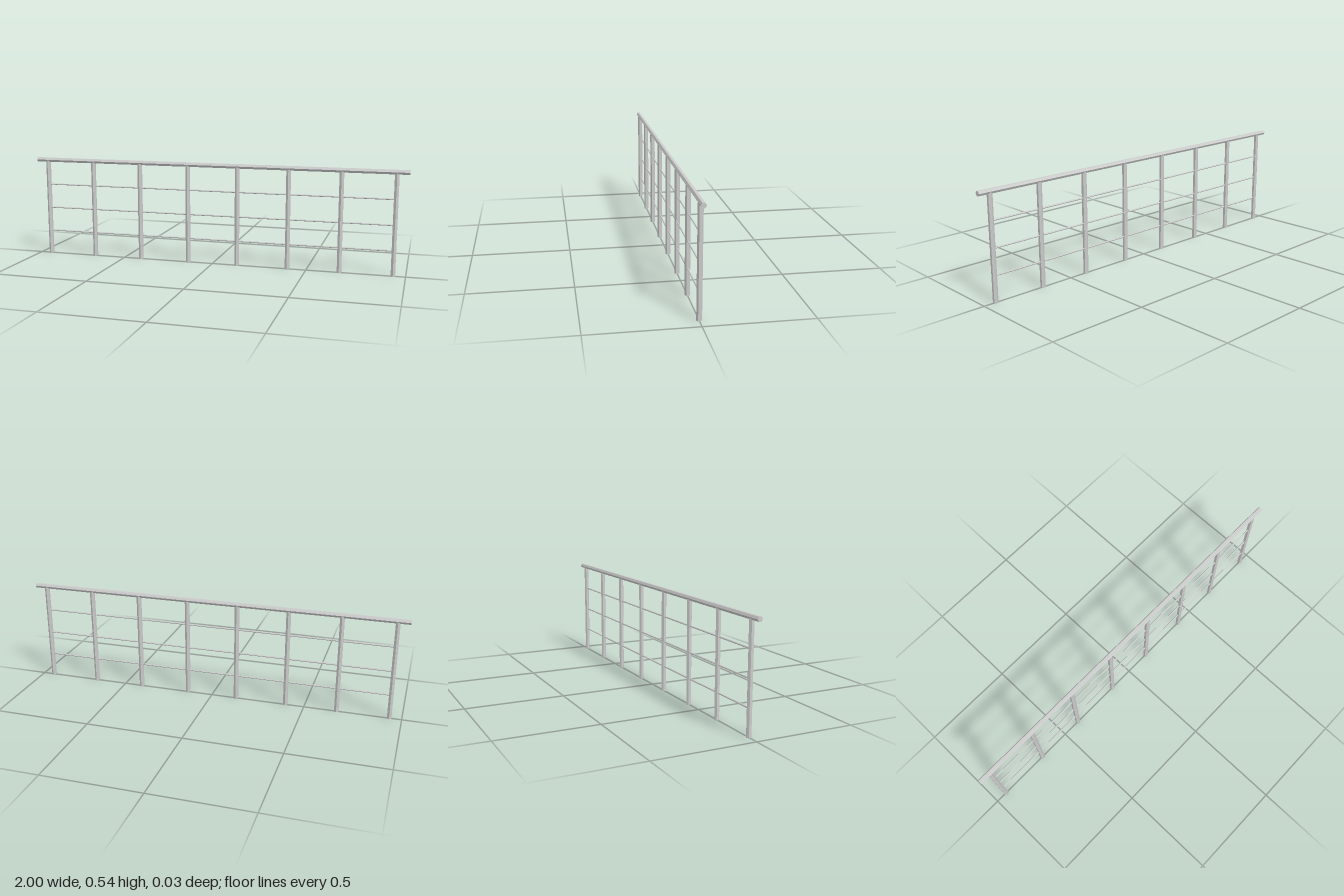
import * as THREE from 'three';

const material = new THREE.MeshStandardMaterial({ color: 0xcccccc, flatShading: true });

// Six-sided bar, corners pointing to front and back
function bar(name, radius, length, horizontal) {
  const geometry = new THREE.CylinderGeometry(radius, radius, length, 6);
  if (horizontal) geometry.rotateZ(Math.PI / 2);
  const mesh = new THREE.Mesh(geometry, material);
  mesh.name = name;
  return mesh;
}

export function createModel() {
  const group = new THREE.Group();
  group.name = 'railing';

  const radius = 0.0128;
  const railY = 0.525;
  const postSpan = 1.876;
  const postCount = 8;

  // Handrail overhanging the end posts
  const handrail = bar('handrail', radius, 2, true);
  handrail.position.y = railY;
  group.add(handrail);

  // Evenly spaced posts, ending inside the handrail
  for (let i = 0; i < postCount; i++) {
    const post = bar('post', radius, railY - 0.005, false);
    post.position.set((i / (postCount - 1) - 0.5) * postSpan, (railY - 0.005) / 2, 0);
    group.add(post);
  }

  // Three thin crossbars between the end posts
  for (let i = 1; i <= 3; i++) {
    const crossbar = bar('crossbar', 0.0042, postSpan, true);
    crossbar.position.y = 0.13 * i;
    group.add(crossbar);
  }

  return group;
}
